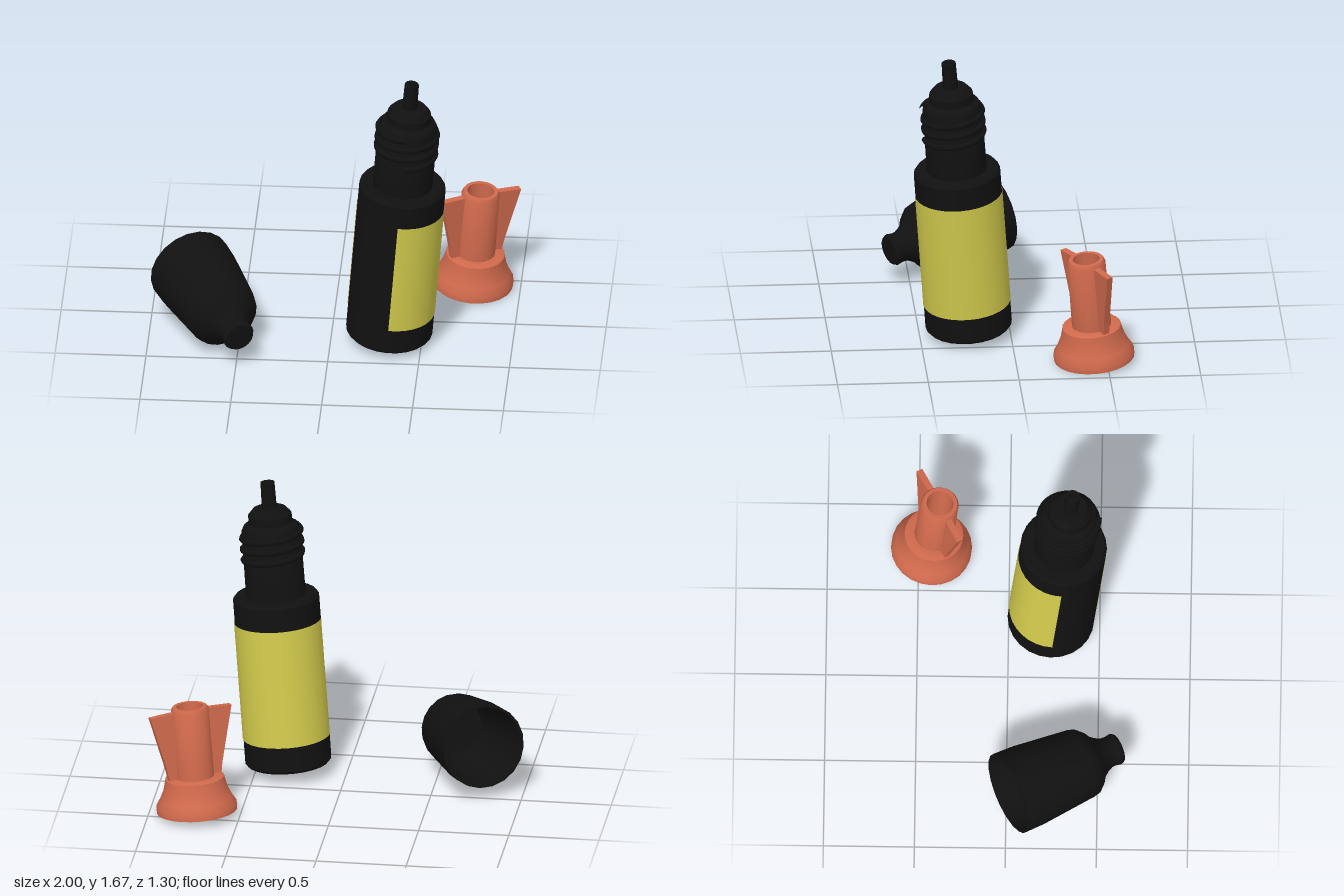
import * as THREE from 'three';
import { toCreasedNormals } from 'three/addons/utils/BufferGeometryUtils.js';

const material = (color) => new THREE.MeshStandardMaterial({ color });
const black = material(0x111111);
const yellow = material(0xd2ca4c);
const orange = material(0xcf694c);
yellow.side = THREE.DoubleSide;

function addMesh(parent, name, geometry, mat) {
  const mesh = new THREE.Mesh(geometry, mat);
  mesh.name = name;
  parent.add(mesh);
  return mesh;
}

// Turned part from [radius, height] pairs, listed so the outside runs upward
function turned(points, segments = 24) {
  const profile = points.map(([r, y]) => new THREE.Vector2(r, y));
  return toCreasedNormals(new THREE.LatheGeometry(profile, segments), 0.6);
}

// Group whose local y axis points along the given direction
function leaningGroup(name, position, direction) {
  const group = new THREE.Group();
  group.name = name;
  group.position.set(...position);
  group.quaternion.setFromUnitVectors(
    new THREE.Vector3(0, 1, 0), new THREE.Vector3(...direction).normalize());
  return group;
}

class Helix extends THREE.Curve {
  constructor(radius, start, height, turns) {
    super();
    Object.assign(this, { radius, start, height, turns });
  }
  getPoint(t, target = new THREE.Vector3()) {
    const a = t * this.turns * Math.PI * 2;
    return target.set(
      Math.sin(a) * this.radius, this.start + t * this.height, Math.cos(a) * this.radius);
  }
}

function createBottle() {
  const bottle = leaningGroup('bottle', [0.32, 0.055, 0.23], [0.083, 1, 0.075]);
  addMesh(bottle, 'bottleBody', turned([
    [0, 0], [0.225, 0], [0.238, 0.015], [0.238, 0.955], [0.225, 0.972], [0.165, 0.972],
  ]), black);
  addMesh(bottle, 'bottleNeck', turned([
    [0.165, 0.97], [0.163, 1.345], [0.148, 1.375], [0.122, 1.39],
    [0.12, 1.435], [0.092, 1.468], [0.04, 1.47],
  ]), black);
  addMesh(bottle, 'nozzle', turned([
    [0.042, 1.46], [0.039, 1.62], [0.022, 1.62], [0.02, 1.56], [0, 1.56],
  ], 16), black);
  addMesh(bottle, 'screwThread', new THREE.TubeGeometry(
    new Helix(0.162, 1.165, 0.185, 3), 96, 0.018, 6), black);
  // Label wraps three quarters of the way round
  const label = addMesh(bottle, 'label', new THREE.CylinderGeometry(
    0.241, 0.241, 0.67, 24, 1, true, 0, Math.PI * 1.5), yellow);
  label.position.y = 0.49;
  return bottle;
}

function createCap() {
  const cap = leaningGroup('cap', [-0.79, 0.3, 0.015], [0.457, -0.157, 0.871]);
  // Hollow inside first, then the outer wall and the narrow tip
  addMesh(cap, 'capShell', turned([
    [0, 0.5], [0.16, 0.48], [0.215, 0.1], [0.22, 0], [0.235, 0],
    [0.232, 0.12], [0.2, 0.44], [0.19, 0.48], [0.16, 0.515], [0.125, 0.54],
    [0.1, 0.575], [0.086, 0.605], [0.084, 0.635], [0.09, 0.665], [0.08, 0.683], [0, 0.685],
  ], 20), black);
  return cap;
}

function createWingNozzle() {
  const piece = leaningGroup('wingedNozzle', [0.737, 0.022, -0.431], [0.08, 1, 0.08]);
  // Flared foot
  addMesh(piece, 'flaredBase', turned([
    [0, 0], [0.222, 0], [0.222, 0.035], [0.198, 0.075], [0.178, 0.12],
    [0.167, 0.165], [0.162, 0.19], [0.145, 0.197], [0.1, 0.197],
  ]), orange);
  // Open tube with a bevelled lip
  addMesh(piece, 'tube', turned([
    [0.108, 0.19], [0.105, 0.58], [0.095, 0.598], [0.074, 0.598], [0.07, 0.25], [0, 0.25],
  ], 20), orange);
  // Two tapered wings on opposite sides
  const outline = new THREE.Shape([
    [0.09, 0.185], [0.15, 0.185], [0.163, 0.26], [0.238, 0.57], [0.09, 0.578],
  ].map(([x, y]) => new THREE.Vector2(x, y)));
  const thickness = 0.036;
  const wingGeometry = new THREE.ExtrudeGeometry(outline, { depth: thickness, bevelEnabled: false });
  wingGeometry.translate(0, 0, -thickness / 2);
  for (const [name, turn] of [['leftWing', 0], ['rightWing', Math.PI]]) {
    addMesh(piece, name, wingGeometry, orange).rotation.y = 0.5 + turn;
  }
  return piece;
}

export function createModel() {
  const model = new THREE.Group();
  model.name = 'bottleSet';
  model.add(createBottle(), createCap(), createWingNozzle());
  return model;
}
